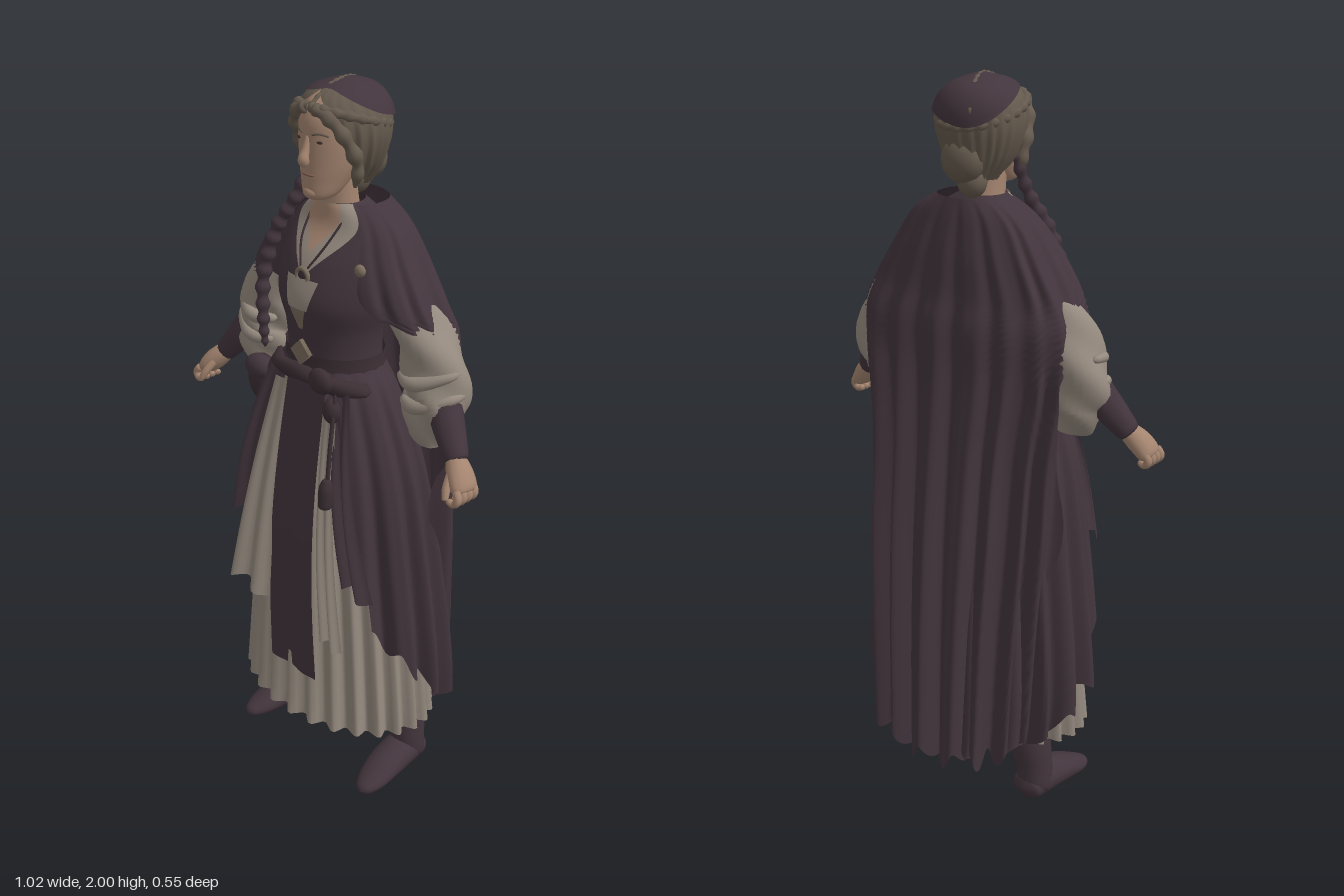
import * as THREE from 'three';

const mat = (name, color) => Object.assign(
  new THREE.MeshStandardMaterial({ color, side: THREE.DoubleSide }), { name });
const plum = mat('plum cloth', 0x43353d);
const linen = mat('linen', 0x958a7f);
const skin = mat('skin', 0xa58570);
const lip = mat('lips', 0x7d5a4e);
const hairMat = mat('grey brown hair', 0x655a4e);
const leather = mat('dark leather', 0x3c2f34);
const metal = mat('dull metal', 0x7a6c5c);
const eyeMat = mat('eyes', 0x3a302b);
const RAD = Math.PI / 180;

// smooth interpolation through a short table of equally long rows
function at(rows, t) {
  const n = rows.length - 1, f = Math.min(Math.max(t, 0), 1) * n;
  const i = Math.min(Math.floor(f), n - 1), s = f - i;
  const p = k => rows[Math.min(Math.max(k, 0), n)];
  return rows[i].map((b, k) => {
    const a = p(i - 1)[k], c = p(i + 1)[k], d = p(i + 2)[k];
    return b + 0.5 * s * (c - a + s * (2 * a - 5 * b + 4 * c - d + s * (3 * (b - c) + d - a)));
  });
}

// grid surface from fn(u, v) -> [x, y, z]
function surface(name, material, fn, nu, nv, closed = false) {
  const pos = [], idx = [], w = closed ? nu : nu + 1;
  for (let j = 0; j <= nv; j++) for (let i = 0; i < w; i++) pos.push(...fn(i / nu, j / nv));
  for (let j = 0; j < nv; j++) for (let i = 0; i < nu; i++) {
    const a = j * w + i, b = j * w + (i + 1) % w;
    idx.push(a, b, b + w, a, b + w, a + w);
  }
  const g = new THREE.BufferGeometry();
  g.setAttribute('position', new THREE.Float32BufferAttribute(pos, 3));
  g.setIndex(idx);
  g.computeVertexNormals();
  const m = new THREE.Mesh(g, material);
  m.name = name;
  return m;
}

// point on horizontal rings; row = [y, width, front depth, back depth, centre z, opening]
// a square value under 1 flattens the back
function ringPoint(r, a, add = 0, square = 1) {
  const c = Math.cos(a);
  return [(r[1] + add) * Math.sin(a), r[0],
    r[4] + (c > 0 ? (r[2] + add) * c : -(r[3] + add) * Math.pow(-c, square))];
}

// garment with pleats, a front opening and a ragged hem
function garment(name, material, rows, o = {}) {
  const { folds = 0, amp = 0, cut = () => 0, nu = 64, nv = 32, closed = false, square = 1 } = o;
  return surface(name, material, (u, v) => {
    const a0 = closed ? 0 : at(rows, v)[5] * RAD;
    const a = a0 + u * (2 * Math.PI - 2 * a0);
    const t = Math.min(1, cut(a) + (1 - cut(a)) * v);
    const wave = Math.sin(folds * a + 0.9 * Math.sin(3 * a)) + 0.35 * Math.sin(folds * 1.7 * a + 1);
    return ringPoint(at(rows, t), a, amp * Math.pow(1 - t, 1.2) * (closed ? Math.sin(folds * a) : wave), square);
  }, nu, nv, closed);
}

// thin patch lying on the front of a ringed body
const patch = (name, material, rows, v0, v1, width, add) => surface(name, material, (u, v) =>
  ringPoint(at(rows, v0 + (v1 - v0) * v), (2 * u - 1) * width(v), add), 20, 14);

// round limb along points [x, y, z, radius, radius2]; up steers the cross-section
function sweep(name, material, pts, o = {}) {
  const { nu = 12, nv = 20, cap = true, bumps = 0, wrinkle = 0, up = [0, 0, 1] } = o;
  return surface(name, material, (u, v) => {
    const p = at(pts, v), q0 = at(pts, v - 0.02), q1 = at(pts, v + 0.02);
    const t = new THREE.Vector3(q1[0] - q0[0], q1[1] - q0[1], q1[2] - q0[2]).normalize();
    const b = new THREE.Vector3(...up);
    b.addScaledVector(t, -b.dot(t)).normalize();
    const n = new THREE.Vector3().crossVectors(t, b), a = u * 2 * Math.PI;
    let k = cap ? Math.sqrt(Math.max(0, 1 - Math.pow(Math.abs(2 * v - 1), 14))) : 1;
    k *= 1 + 0.2 * Math.sin(bumps * v * 2 * Math.PI) + wrinkle * Math.sin(3 * a + 16 * v);
    return new THREE.Vector3(p[0], p[1], p[2]).addScaledVector(n, p[3] * k * Math.sin(a))
      .addScaledVector(b, (p[4] ?? p[3]) * k * Math.cos(a)).toArray();
  }, nu, nv, true);
}

function ball(name, material, pos, scale) {
  const m = new THREE.Mesh(new THREE.SphereGeometry(1, 18, 12), material);
  m.name = name;
  m.position.set(...pos);
  m.scale.set(...scale);
  return m;
}

// hanging cloth strip between two edges [x0, x1, y, z], bulging forward
const strip = (name, material, top, bottom, ripple, bulge) => surface(name, material, (u, v) => {
  const t = 1 - v, x = s => s[0] + (s[1] - s[0]) * u;
  return [x(bottom) * t + x(top) * v, bottom[2] * t + top[2] * v + ripple * t * Math.sin(u * 5),
    bottom[3] * t + top[3] * v + bulge * Math.sin(Math.PI * v) + ripple * t * Math.sin(u * 11)];
}, 16, 12);

export function createModel() {
  const g = new THREE.Group();
  g.name = 'robedWoman';
  const add = (...m) => g.add(...m);

  // torso and neckline
  const torso = [[1.15, .17, .13, .11, .03], [1.27, .14, .115, .1, .03], [1.37, .14, .12, .1, .03],
    [1.46, .165, .14, .11, .025], [1.56, .17, .115, .11, .015], [1.64, .15, .075, .09, 0], [1.7, .06, .055, .06, .01]];
  add(garment('bodice', plum, torso, { closed: true, nu: 40 }));
  add(patch('chemiseCollar', linen, torso, .6, 1, v => 1.2 * v, .005));
  add(patch('bareChest', skin, torso, .71, 1, v => .66 * v, .009));
  add(patch('bodiceInsert', linen, torso, .47, .6, v => .2 + .12 * v, .004));
  add(patch('bodiceLacing', metal, torso, .36, .47, v => .05 + .12 * v, .004));
  add(patch('beltBand', leather, torso, .12, .24, () => Math.PI, .008));

  // skirts
  add(garment('underskirt', linen, [[.21, .31, .21, .19, .02], [.5, .28, .2, .17, .02], [.8, .24, .18, .15, .025],
    [1.05, .195, .15, .13, .03], [1.27, .14, .12, .1, .03]], { closed: true, folds: 26, amp: .016, nu: 156, nv: 16 }));
  add(garment('overskirt', plum, [[.17, .335, .22, .21, 0, 50], [.4, .345, .225, .2, 0, 47], [.75, .305, .21, .185, .01, 40],
    [1, .265, .185, .165, .02, 32], [1.2, .195, .145, .125, .03, 24], [1.28, .145, .122, .105, .03, 16]], {
    folds: 17, amp: .027, nu: 150, nv: 28,
    cut: a => .34 * Math.pow(Math.max(0, 1 + Math.cos(a)) / 2, 1.1) + .014 * (1 + Math.sin(23 * a)) }));
  add(strip('tabard', plum, [-.05, .09, 1.24, .157], [-.055, .12, .38, .235], .003, .03));
  add(strip('rightLinenFlap', linen, [-.1, -.05, 1.22, .155], [-.19, -.045, .6, .262], .016, .012));
  add(strip('leftLinenFlap', linen, [.08, .12, 1.22, .145], [.12, .19, .5, .21], .012, .025));
  add(strip('rightPlumFlap', plum, [-.15, -.08, 1.24, .13], [-.27, -.18, .74, .17], .02, .03));
  add(strip('leftPlumFlap', plum, [.1, .15, 1.24, .13], [.17, .26, .68, .17], .02, .03));

  // cloak: over the shoulders in front, swept behind the arms below
  add(garment('cloak', plum, [[.14, .255, .1, .25, 0, 112], [.5, .275, .1, .24, 0, 102], [.8, .295, .1, .22, 0, 95],
    [1.05, .305, .1, .195, 0, 102], [1.25, .335, .1, .175, 0, 112], [1.38, .335, .11, .16, -.01, 80],
    [1.46, .305, .135, .152, 0, 38], [1.56, .245, .125, .14, 0, 38], [1.65, .18, .095, .11, -.01, 42],
    [1.7, .1, .065, .09, -.015, 48]], {
    folds: 19, amp: .028, nu: 170, nv: 48, square: .65,
    cut: a => .03 * (1 + Math.cos(a)) + .01 * (1 + Math.sin(31 * a)) }));

  // neck and head
  add(sweep('neck', skin, [[0, 1.62, .01, .055], [0, 1.7, .02, .05], [0, 1.78, .03, .05]]));
  const face = [[1.713, .008, .01, .02, .095], [1.725, .04, .04, .05, .085], [1.765, .06, .068, .07, .06],
    [1.81, .074, .083, .08, .045], [1.87, .081, .087, .09, .04], [1.92, .076, .087, .09, .035],
    [1.965, .055, .065, .07, .025], [1.985, .005, .01, .01, .02]];
  add(garment('face', skin, face, { closed: true, nu: 32 }));
  add(sweep('nose', skin, [[0, 1.88, .12, .007], [0, 1.845, .131, .01], [0, 1.822, .139, .014], [0, 1.81, .131, .012]]));
  add(ball('mouth', lip, [0, 1.782, .124], [.022, .004, .007]), ball('chin', skin, [0, 1.736, .112], [.025, .018, .02]));
  for (const s of [-1, 1]) {
    add(ball('eye', eyeMat, [s * .032, 1.866, .117], [.011, .004, .005]));
    add(sweep('brow', hairMat, [[s * .016, 1.883, .126, .003], [s * .035, 1.887, .118, .003], [s * .053, 1.881, .103, .003]]));
    add(ball('ear', skin, [s * .085, 1.84, .025], [.012, .028, .018]));
  }

  // hair, crown wrap, braids and bun
  const hair = [[1.74, .055, .06, .05, -.015, 84], [1.8, .096, .09, .085, -.005, 66], [1.87, .117, .11, .112, 0, 50],
    [1.93, .109, .112, .115, .003, 34], [1.975, .068, .08, .085, .004, 5], [1.998, .004, .004, .004, .003, 0]];
  add(garment('hair', hairMat, hair, { folds: 24, amp: .005, nu: 90 }));
  add(surface('crownWrap', plum, (u, v) => {
    const a = u * 2 * Math.PI, start = .64 + .2 * Math.cos(a) + .03 * Math.sin(3 * a);
    return ringPoint(at(hair, start + (1 - start) * v), a, .006 * (1 - v) + .002);
  }, 48, 14, true));
  add(sweep('crownBraid', hairMat, Array.from({ length: 13 }, (_, i) => {
    const a = i / 12 * 2 * Math.PI;
    return [.108 * Math.sin(a), 1.91 + .035 * Math.cos(a), .004 + .11 * Math.cos(a), .012];
  }), { nv: 110, nu: 8, bumps: 22, cap: false, up: [0, 1, 0] }));
  add(sweep('partingBraid', hairMat, [[0, 1.95, .11, .007], [0, 1.983, .05, .007], [0, 1.992, 0, .007],
    [-.03, 1.97, -.07, .007], [-.05, 1.91, -.11, .007]], { nv: 50, nu: 8, bumps: 12, up: [1, 0, 0] }));
  add(ball('bun', hairMat, [.005, 1.79, -.07], [.062, .06, .042]), ball('napeKnot', hairMat, [-.01, 1.735, -.05], [.04, .042, .036]));
  for (const s of [-1, 1]) {
    add(sweep('templeLock', hairMat, [[s * .01, 1.945, .116, .015], [s * .055, 1.925, .105, .017], [s * .086, 1.875, .08, .017],
      [s * .095, 1.81, .05, .017], [s * .085, 1.75, .05, .008]], { bumps: 5, nv: 40 }));
  }
  add(sweep('shoulderBraid', plum, [[-.085, 1.8, .03, .014], [-.1, 1.7, .065, .016], [-.145, 1.6, .1, .018],
    [-.165, 1.48, .13, .018], [-.155, 1.36, .145, .015], [-.15, 1.28, .145, .008]], { bumps: 14, nv: 90, nu: 8 }));

  for (const s of [-1, 1]) {
    // sleeves and arms
    add(sweep('upperArm', plum, [[s * .13, 1.6, -.01, .05], [s * .21, 1.47, -.02, .06], [s * .31, 1.29, -.01, .05]]));
    add(sweep('linenSleeve', linen, [[s * .23, 1.45, -.01, .06, .06], [s * .285, 1.37, -.015, .078, .075],
      [s * .315, 1.27, -.015, .088, .075], [s * .312, 1.2, -.005, .08, .07], [s * .3, 1.13, 0, .05, .045]],
    { nu: 30, nv: 30, cap: false, wrinkle: .08 }));
    for (let i = 0; i < 2; i++) add(sweep('sleeveFold', linen, [[s * (.23 + .012 * i), 1.3 - .065 * i, .03, .012],
      [s * (.3 + .008 * i), 1.3 - .06 * i, .058, .02], [s * (.375 + .01 * i), 1.33 - .06 * i, .015, .014],
      [s * (.38 + .01 * i), 1.335 - .06 * i, -.04, .01]], { up: [0, 1, 0] }));
    add(sweep('forearmCuff', plum, [[s * .33, 1.28, -.01, .05], [s * .39, 1.2, .02, .042], [s * .445, 1.13, .045, .03]]));

    // hands
    add(sweep('palm', skin, [[s * .43, 1.145, .04, .024, .024], [s * .46, 1.115, .055, .03, .036],
      [s * .482, 1.09, .065, .026, .04], [s * .492, 1.075, .068, .018, .036]]));
    for (let i = 0; i < 4; i++) {
      const z = .038 + .02 * i;
      add(sweep('finger', skin, [[s * .487, 1.092, z, .011], [s * .5, 1.07, z + .005, .011],
        [s * .488, 1.055, z + .008, .01], [s * .468, 1.062, z + .01, .008]], { nu: 8, nv: 12 }));
    }
    add(sweep('thumb', skin, [[s * .45, 1.115, .075, .012], [s * .46, 1.085, .102, .011], [s * .468, 1.06, .115, .008]], { nu: 8 }));
    add(ball('cloakBrooch', metal, [s * .155, 1.57, .1], [.016, .016, .012]));

    // boots
    add(sweep('bootShaft', plum, [[s * .225, .02, -.045, .05, .045], [s * .22, .1, -.04, .053, .05],
      [s * .207, .2, -.045, .06, .055], [s * .18, .36, -.03, .065, .06], [s * .14, .6, 0, .07, .065]], { nu: 18 }));
    add(sweep('bootFoot', plum, [[s * .215, .036, -.09, .048, .036], [s * .222, .05, -.02, .052, .05],
      [s * .23, .042, .06, .052, .042], [s * .24, .026, .13, .042, .026], [s * .245, .014, .178, .018, .014]],
    { nu: 18, up: [0, 1, 0] }));
  }

  // necklace, buckle and belt gear
  for (const s of [-1, 1]) add(sweep('necklaceCord', leather, [[s * .06, 1.68, .045, .003], [s * .045, 1.61, .105, .003],
    [s * .012, 1.545, .143, .003]], { nu: 6 }));
  const ring = new THREE.Mesh(new THREE.TorusGeometry(.02, .006, 8, 20), metal);
  ring.name = 'pendantRing';
  ring.position.set(0, 1.525, .147);
  add(ring, ball('pendantStone', leather, [0, 1.525, .146], [.016, .016, .007]));
  const buckle = new THREE.Mesh(new THREE.CylinderGeometry(.035, .035, .012, 4), metal);
  buckle.name = 'beltBuckle';
  buckle.rotation.x = Math.PI / 2;
  buckle.position.set(0, 1.32, .155);
  add(buckle);
  add(sweep('beltSash', leather, [[-.17, 1.235, .07, .02], [-.1, 1.25, .135, .022], [0, 1.26, .15, .022], [.1, 1.25, .135, .022],
    [.17, 1.235, .07, .02]], { wrinkle: .15, up: [0, 1, 0] }));
  add(ball('largePouch', leather, [-.195, 1.165, .115], [.05, .07, .035]), ball('pouchFlap', plum, [-.195, 1.2, .125], [.052, .035, .033]));
  add(ball('smallPouch', leather, [.11, 1.19, .155], [.026, .035, .022]), ball('sashKnot', leather, [.07, 1.26, .155], [.04, .035, .022]));
  add(sweep('tasselCord', leather, [[.12, 1.24, .15, .006], [.135, 1.1, .185, .006], [.14, 1, .2, .006]], { nu: 6 }));
  add(sweep('tassel', leather, [[.14, 1.02, .202, .01], [.14, .99, .205, .02], [.14, .935, .21, .018]]));
  return g;
}
